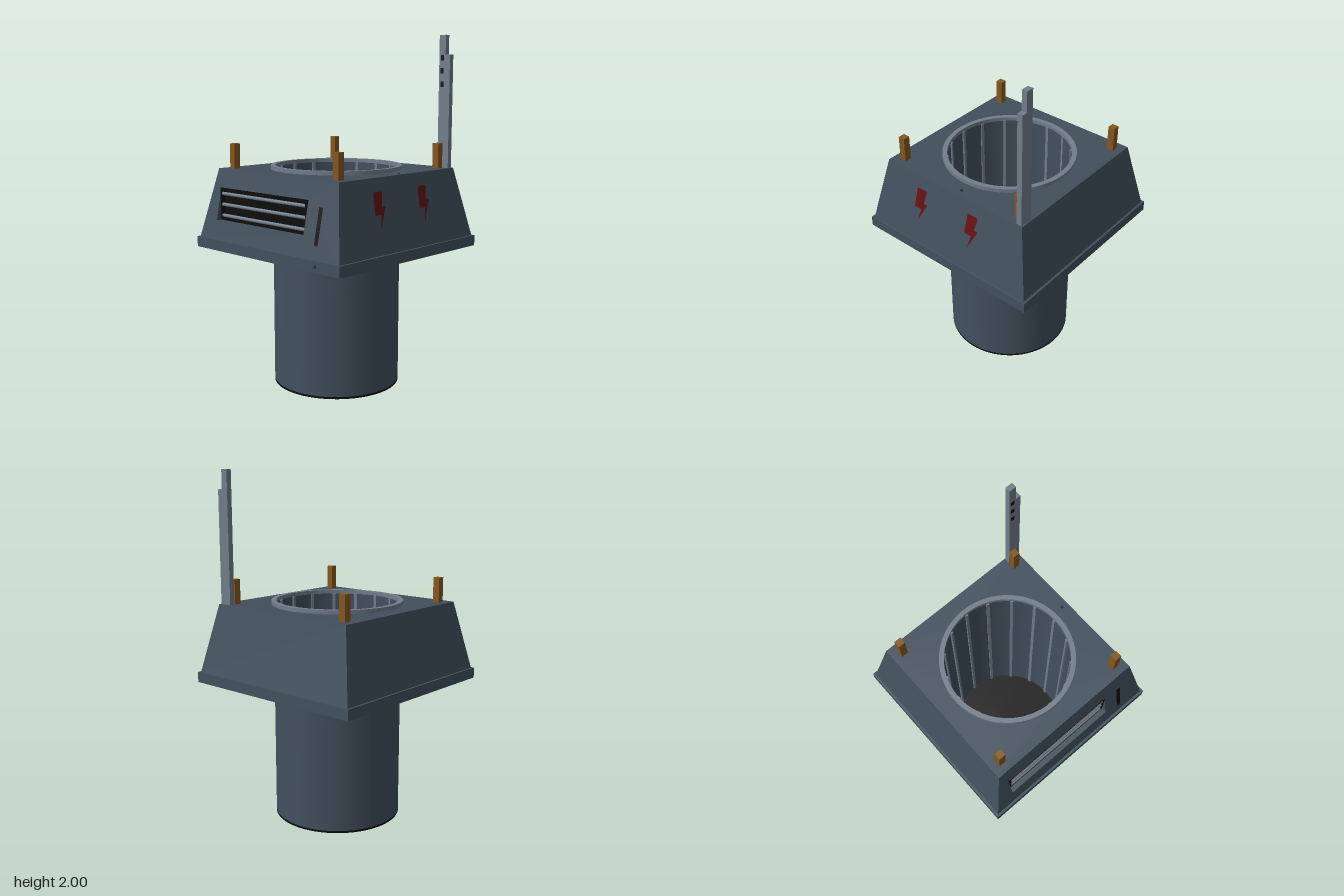
import * as THREE from 'three';

const mat = (name, color, side = THREE.FrontSide) => {
  const m = new THREE.MeshStandardMaterial({ color, side });
  m.name = name;
  return m;
};

export function createModel() {
  const model = new THREE.Group();
  model.name = 'ventedDevice';
  const slate = mat('slate', 0x42505d, THREE.DoubleSide);
  const steel = mat('steel', 0x727e8b, THREE.DoubleSide);
  const black = mat('black', 0x0d0d0e);
  const brass = mat('brass', 0x85571f);
  const red = mat('red', 0x680f0f);
  const charcoal = mat('charcoal', 0x252c33);

  const add = (name, geo, material, x = 0, y = 0, z = 0, parent = model) => {
    const mesh = new THREE.Mesh(geo, material);
    mesh.name = name;
    mesh.position.set(x, y, z);
    parent.add(mesh);
    return mesh;
  };
  // box given by its minimum and maximum corners
  const box = (name, material, a, b, parent = model) => add(name,
    new THREE.BoxGeometry(b[0] - a[0], b[1] - a[1], b[2] - a[2]), material,
    (a[0] + b[0]) / 2, (a[1] + b[1]) / 2, (a[2] + b[2]) / 2, parent);
  const poly = pts => new THREE.Shape(pts.map(p => new THREE.Vector2(p[0], p[1])));
  const rect = (x0, y0, x1, y1) => poly([[x0, y0], [x1, y0], [x1, y1], [x0, y1]]);
  const disc = r => new THREE.Path().absarc(0, 0, r, 0, Math.PI * 2, true);

  // housing dimensions
  const y0 = 0.855, y1 = 1.25, w0 = 0.557, w1 = 0.475;
  const slopeZ = y => w0 + (w1 - w0) * (y - y0) / (y1 - y0);
  // lay a flat shape on the sloping wall that faces +z
  const onSlope = (shape, lift = 0) => {
    const g = new THREE.ShapeGeometry(shape);
    const p = g.attributes.position;
    for (let i = 0; i < p.count; i++) p.setZ(i, slopeZ(p.getY(i)) + lift);
    g.computeVertexNormals();
    return g;
  };

  // sloping walls; the front one is cut open for the vent
  const v = { x0: -0.43, x1: 0.28, y0: 0.96, y1: 1.145 };
  ['front', 'left', 'back', 'right'].forEach((side, i) => {
    const wall = poly([[-w0, y0], [w0, y0], [w1, y1], [-w1, y1]]);
    if (i === 0) wall.holes.push(rect(v.x0, v.y0, v.x1, v.y1));
    add(side + 'Wall', onSlope(wall), slate).rotation.y = i * Math.PI / 2;
  });

  // top panel and base flange, both with a round opening
  const topShape = rect(-w1, -w1, w1, w1);
  topShape.holes.push(disc(0.352));
  add('topPanel', new THREE.ShapeGeometry(topShape, 48), slate, 0, y1, 0).rotation.x = -Math.PI / 2;
  const flangeShape = rect(-0.57, -0.57, 0.57, 0.57);
  flangeShape.holes.push(disc(0.352));
  add('baseFlange', new THREE.ExtrudeGeometry(flangeShape,
    { depth: 0.06, bevelEnabled: false, curveSegments: 48 }), slate, 0, 0.795, 0).rotation.x = -Math.PI / 2;

  // barrel, its inner wall and floor
  add('barrel', new THREE.CylinderGeometry(0.365, 0.365, 0.785, 64, 1, true), slate, 0, 0.4045, 0);
  add('innerWall', new THREE.CylinderGeometry(0.351, 0.351, 1.24, 64, 1, true), slate, 0, 0.63, 0);
  add('barrelFloor', new THREE.CylinderGeometry(0.365, 0.365, 0.012, 64), black, 0, 0.006, 0);

  // rim around the opening
  const rim = new THREE.Shape().absarc(0, 0, 0.376, 0, Math.PI * 2, false);
  rim.holes.push(disc(0.349));
  add('rim', new THREE.ExtrudeGeometry(rim, { depth: 0.022, bevelEnabled: false, curveSegments: 48 }),
    steel, 0, y1, 0).rotation.x = -Math.PI / 2;

  // upright ribs inside the barrel
  for (let i = 0; i < 16; i++) {
    const a = i * Math.PI / 8;
    add('innerRib', new THREE.BoxGeometry(0.018, 1.24, 0.012), steel,
      Math.sin(a) * 0.348, 0.632, Math.cos(a) * 0.348).rotation.y = a;
  }

  // recessed vent: pocket, frame and slats
  const vent = new THREE.Group();
  vent.name = 'vent';
  model.add(vent);
  box('ventBack', black, [v.x0, v.y0, 0.47], [v.x1, v.y1, 0.485], vent);
  box('ventFloor', slate, [v.x0, v.y0 - 0.006, 0.47], [v.x1, v.y0, slopeZ(v.y0)], vent);
  const cheek = poly([[-0.47, v.y0], [-0.47, v.y1], [-slopeZ(v.y1), v.y1], [-slopeZ(v.y0), v.y0]]);
  for (const x of [v.x0, v.x1])
    add('ventCheek', new THREE.ShapeGeometry(cheek), slate, x, 0, 0, vent).rotation.y = Math.PI / 2;
  const frame = rect(v.x0 + 0.001, v.y0 + 0.001, v.x1 - 0.001, v.y1);
  frame.holes.push(rect(v.x0 + 0.016, v.y0 + 0.014, v.x1 - 0.016, v.y1 - 0.014));
  add('ventFrame', new THREE.ExtrudeGeometry(frame, { depth: 0.02, bevelEnabled: false }),
    black, 0, 0, 0.485, vent);
  for (const y of [0.987, 1.05, 1.112])
    add('ventSlat', new THREE.CylinderGeometry(0.01, 0.01, 0.68, 12), steel, -0.075, y, 0.497, vent)
      .rotation.z = Math.PI / 2;

  // slot beside the vent and small screws
  add('slot', onSlope(rect(0.367, 0.925, 0.394, 1.118), 0.003), black);
  add('flangeScrew', new THREE.CylinderGeometry(0.009, 0.009, 0.006, 12), charcoal, 0.4, 0.826, 0.57)
    .rotation.x = Math.PI / 2;
  add('topScrew', new THREE.CylinderGeometry(0.009, 0.009, 0.006, 12), charcoal, 0.435, y1, -0.032);

  // painted lightning bolts on the left wall
  const bolt = [[-0.249, 1.06], [-0.217, 0.987], [-0.159, 1.1], [-0.186, 1.1], [-0.17, 1.178], [-0.239, 1.178]];
  bolt.splice(1, 0, [-0.2, 1.06]);
  for (const dx of [0, 0.366])
    add('boltMark', onSlope(poly(bolt.map(p => [p[0] + dx, p[1]])), 0.003), red).rotation.y = Math.PI / 2;

  // corner posts
  for (const x of [-0.41, 0.41])
    for (const z of [-0.41, 0.41])
      box('cornerPost', brass, [x - 0.02, y1, z - 0.02], [x + 0.02, 1.392, z + 0.02]);

  // stepped antenna with three dark ports
  box('antennaTall', steel, [0.393, y1, -0.465], [0.436, 2, -0.434]);
  box('antennaShort', steel, [0.436, y1, -0.465], [0.467, 1.89, -0.434]);
  for (const y of [1.725, 1.8, 1.873])
    box('antennaPort', black, [0.405, y - 0.015, -0.435], [0.425, y + 0.015, -0.432]);

  return model;
}
